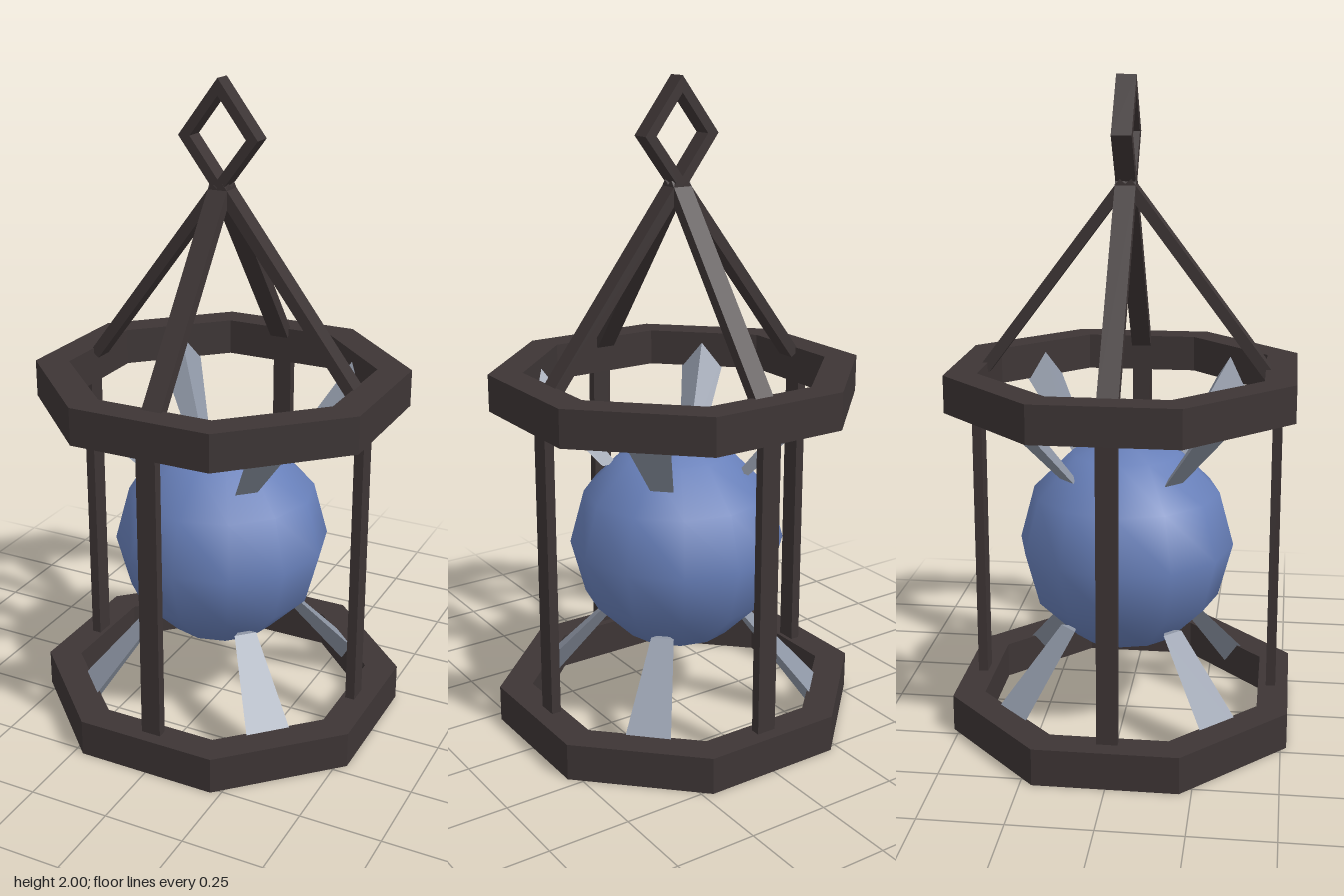
import * as THREE from 'three';

const iron = new THREE.MeshStandardMaterial({ name: 'dark iron', color: 0x3d3535, flatShading: true });
const glass = new THREE.MeshStandardMaterial({ name: 'blue orb', color: 0x6880ba });
const steel = new THREE.MeshStandardMaterial({ name: 'grey steel', color: 0x8e96a5, flatShading: true });

const MID = 0.572; // height of the orb centre; the cage mirrors about it

function add(parent, name, geometry, material) {
  const mesh = new THREE.Mesh(geometry, material);
  mesh.name = name;
  parent.add(mesh);
  return mesh;
}

// Regular octagon with flat sides on the axes
function octagon(apothem) {
  const r = apothem / Math.cos(Math.PI / 8);
  return Array.from({ length: 8 }, (_, i) => {
    const a = (i + 0.5) * Math.PI / 4;
    return new THREE.Vector2(r * Math.cos(a), r * Math.sin(a));
  });
}

function frame(points, hole, depth) {
  const shape = new THREE.Shape(points);
  shape.holes.push(new THREE.Path(hole));
  return new THREE.ExtrudeGeometry(shape, { depth, bevelEnabled: false });
}

// Tapered three-sided claw from the orb to the ring; dir = 1 upper, -1 lower
function clawGeometry(dir) {
  const section = (y, a, b) => [[a, y, a], [b, y, a], [a, y, b]];
  const p = [...section(MID + dir * 0.238, 0.137, 0.187), ...section(MID + dir * 0.535, 0.305, 0.418)];
  const faces = [0, 1, 2, 3, 5, 4];
  for (let i = 0; i < 3; i++) {
    const j = (i + 1) % 3;
    faces.push(i, i + 3, j, j, i + 3, j + 3);
  }
  if (dir < 0) faces.reverse();
  const g = new THREE.BufferGeometry();
  g.setAttribute('position', new THREE.Float32BufferAttribute(faces.flatMap(i => p[i]), 3));
  g.computeVertexNormals();
  return g;
}

export function createModel() {
  const model = new THREE.Group();
  model.name = 'caged orb lantern';

  // Octagonal rings
  const ringGeometry = frame(octagon(0.525), octagon(0.43), 0.114).rotateX(-Math.PI / 2);
  for (const [name, y] of [['lowerRing', 0], ['upperRing', 1.026]]) {
    const ring = add(model, name, ringGeometry, iron);
    ring.position.y = y;
    ring.scale.set(1.013, 1, 0.987);
  }

  // Orb
  add(model, 'orb', new THREE.SphereGeometry(0.336, 12, 6), glass).position.y = MID;

  // Posts, roof bars and claws, one set per quarter turn
  const foot = new THREE.Vector2(0.434, 1.12), apex = new THREE.Vector2(0.004, 1.69);
  const span = apex.clone().sub(foot);
  const postGeometry = new THREE.BoxGeometry(0.03, 0.94, 0.062);
  const barGeometry = new THREE.BoxGeometry(0.034, span.length(), 0.062);
  const upperClaw = clawGeometry(1), lowerClaw = clawGeometry(-1);
  for (let i = 0; i < 4; i++) {
    const side = new THREE.Group();
    side.name = 'cageQuarter';
    side.rotation.y = i * Math.PI / 2;
    add(side, 'post', postGeometry, iron).position.set(0.464, MID, 0);
    const bar = add(side, 'roofBar', barGeometry, iron);
    bar.position.set((foot.x + apex.x) / 2, (foot.y + apex.y) / 2, 0);
    bar.rotation.z = Math.atan2(-span.x, span.y);
    add(side, 'upperClaw', upperClaw, steel);
    add(side, 'lowerClaw', lowerClaw, steel);
    model.add(side);
  }

  // Diamond hanging loop
  const diamond = (w, h) => [[w, 0], [0, h], [-w, 0], [0, -h]].map(([x, y]) => new THREE.Vector2(x, y));
  const loop = add(model, 'hangingLoop', frame(diamond(0.127, 0.168), diamond(0.09, 0.119), 0.06), iron);
  loop.position.set(0, 1.832, -0.03);

  return model;
}
